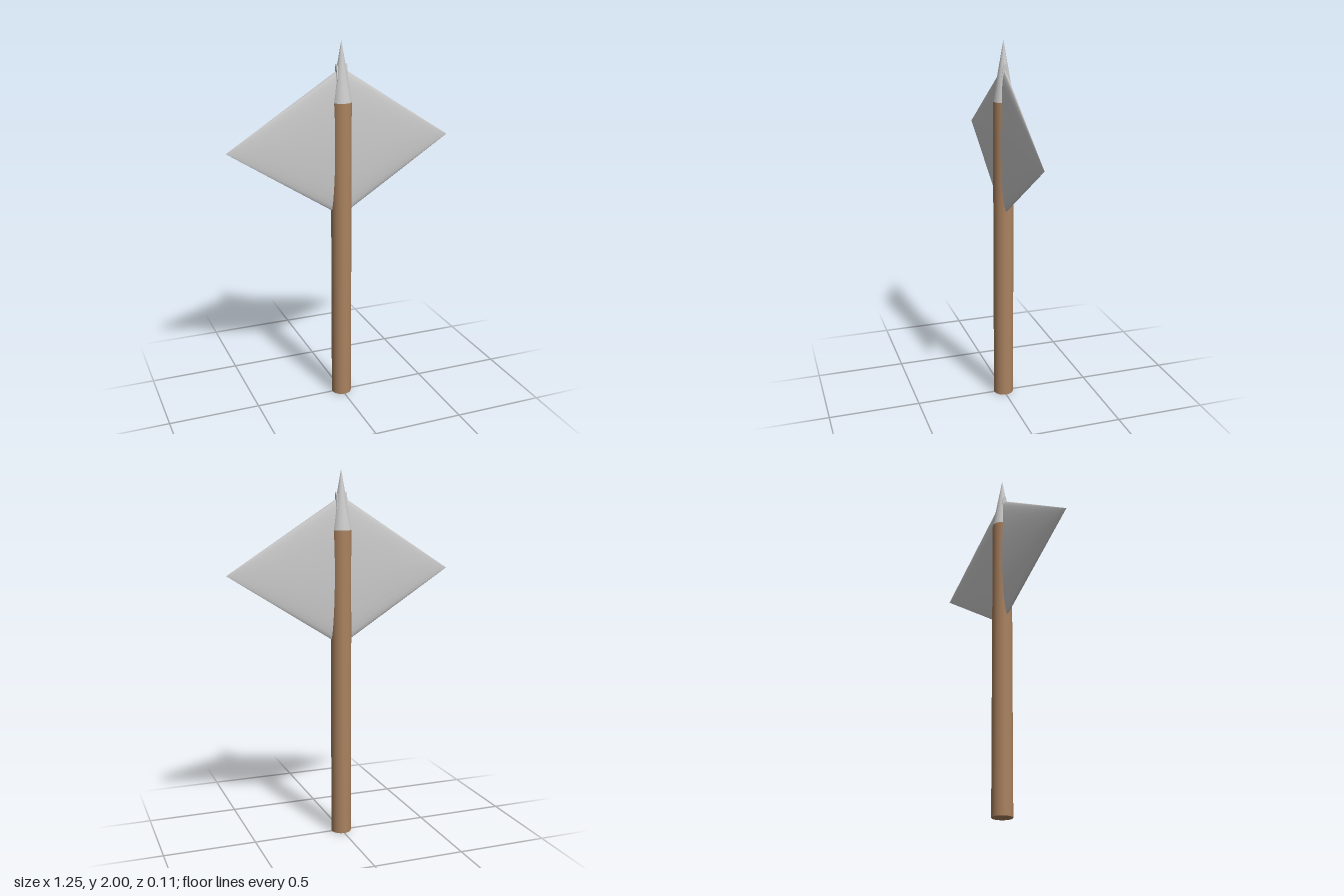
import * as THREE from 'three';

const SHAFT_RADIUS = 0.055;
const SHAFT_HEIGHT = 1.685;
const TIP_HEIGHT = 2 - SHAFT_HEIGHT;

export function createModel() {
  const model = new THREE.Group();
  const wood = new THREE.MeshStandardMaterial({ color: 0xaa8260 });
  const metal = new THREE.MeshStandardMaterial({ color: 0xcccccc });

  function add(name, geometry, material) {
    const mesh = new THREE.Mesh(geometry, material);
    mesh.name = name;
    model.add(mesh);
    return mesh;
  }

  // Round wooden handle
  add('shaft', new THREE.CylinderGeometry(SHAFT_RADIUS, SHAFT_RADIUS, SHAFT_HEIGHT, 32), wood)
    .position.y = SHAFT_HEIGHT / 2;

  // Pointed metal cap on the shaft
  add('tip', new THREE.ConeGeometry(SHAFT_RADIUS, TIP_HEIGHT, 32), metal)
    .position.y = SHAFT_HEIGHT + TIP_HEIGHT / 2;

  // Two flattened cones pointing sideways, each base passing through the shaft
  const baseX = -0.03, apexX = 0.623;
  for (const side of [1, -1]) {
    const blade = new THREE.ConeGeometry(1, apexX - baseX, 32);
    blade.scale(0.418, 1, 0.034);
    blade.rotateZ(-side * Math.PI / 2);
    blade.translate(side * (apexX + baseX) / 2, 1.465, 0);
    add(side > 0 ? 'leftBlade' : 'rightBlade', blade, metal);
  }

  return model;
}
